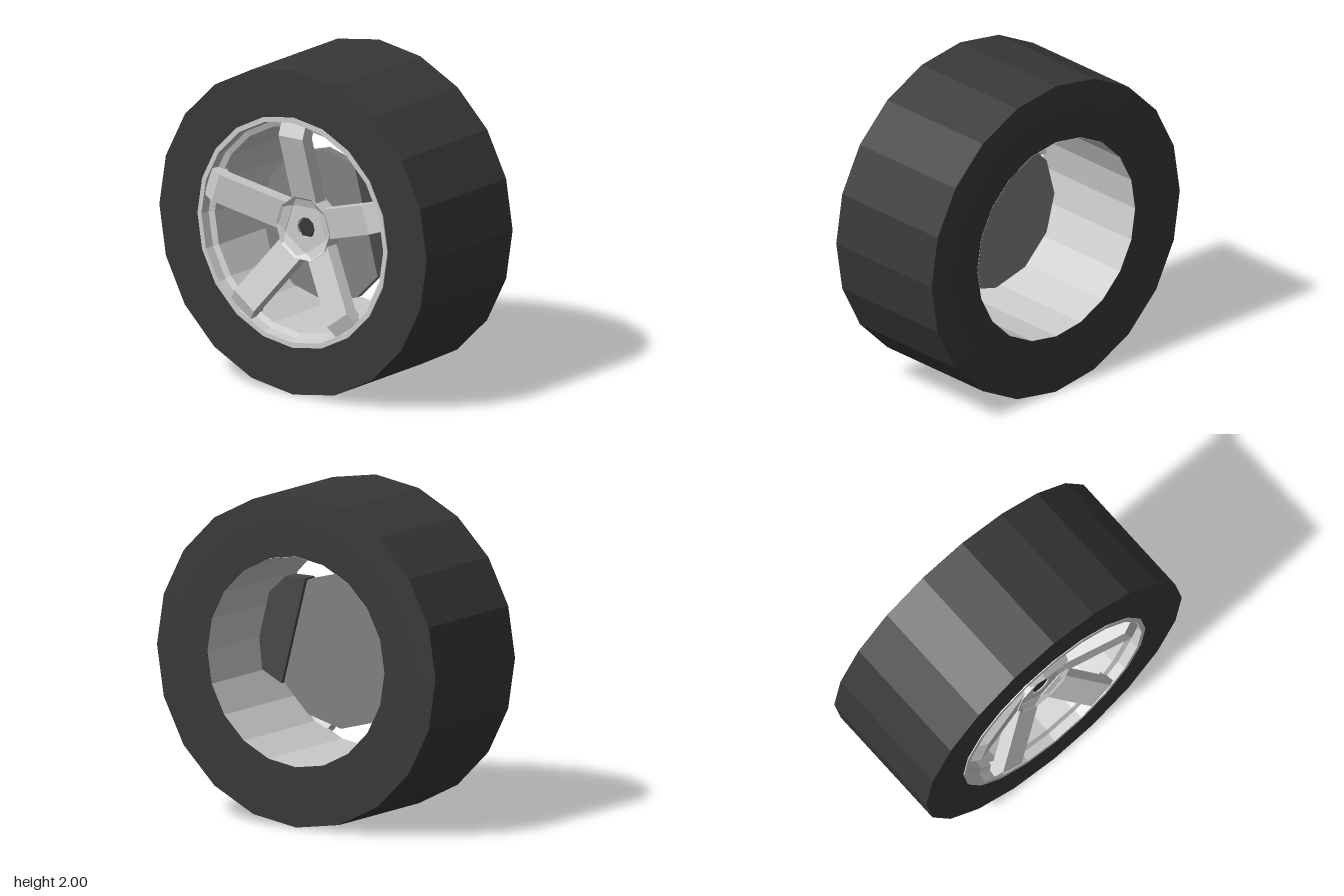
import * as THREE from 'three';

const mat = (color) => new THREE.MeshStandardMaterial({ color, flatShading: true, side: THREE.DoubleSide });

export function createModel() {
  const model = new THREE.Group();
  const wheel = new THREE.Group();
  wheel.name = 'wheel';
  wheel.position.y = 1;
  model.add(wheel);

  const rubber = mat(0x383838);
  const metal = mat(0xcccccc);
  const discGrey = mat(0x808080);
  const caliperGrey = mat(0x484848);

  const add = (name, geometry, material, parent = wheel) => {
    const mesh = new THREE.Mesh(geometry, material);
    mesh.name = name;
    parent.add(mesh);
    return mesh;
  };
  // Revolve [radius, x] points about the x axis
  const revolve = (points, sides) =>
    new THREE.LatheGeometry(points.map(([r, x]) => new THREE.Vector2(r, -x)), sides).rotateZ(Math.PI / 2);
  const extrude = (points, depth) =>
    new THREE.ExtrudeGeometry(new THREE.Shape(points.map(([x, y]) => new THREE.Vector2(x, y))), { depth, bevelEnabled: false });

  // Tyre: wide band whose inner-side wall reaches down to the barrel
  add('tyre', revolve([
    [0.637, 0.43], [0.85, 0.43], [1, 0.425], [1, -0.41], [0.7, -0.41], [0.7, 0.4], [0.637, 0.43],
  ], 20), rubber);

  // Rim: barrel with a stepped seat and a raised outer lip
  add('rim', revolve([
    [0.71, -0.39], [0.71, -0.417], [0.68, -0.417], [0.67, -0.36], [0.635, -0.345], [0.635, 0.43],
  ], 20), metal);

  // Five cranked spokes, sloping inward to the hub
  const spokes = new THREE.Group();
  spokes.name = 'spokes';
  wheel.add(spokes);
  const spokeShape = extrude([
    [-0.29, 0.13], [-0.435, 0.59], [-0.405, 0.67], [-0.31, 0.65], [-0.345, 0.585], [-0.2, 0.13],
  ], 0.18).translate(0, 0, -0.09);
  for (let i = 0; i < 5; i++) {
    add('spoke', spokeShape, metal, spokes).rotation.x = (i * Math.PI * 2) / 5;
  }

  // Hub with a dished face and a dark centre nut
  add('hub', revolve([
    [0, -0.1], [0.12, -0.1], [0.12, -0.18], [0.2, -0.2], [0.2, -0.315],
    [0.16, -0.285], [0.065, -0.285], [0.065, -0.25], [0, -0.25],
  ], 10), metal);
  add('centreNut', new THREE.CylinderGeometry(0.06, 0.06, 0.03, 6).rotateZ(Math.PI / 2).translate(-0.265, 0, 0), rubber);

  // Brake disc, sitting slightly off the axle line
  add('brakeDisc', new THREE.CylinderGeometry(0.47, 0.47, 0.05, 12).rotateZ(Math.PI / 2).translate(-0.1, -0.015, 0.02), discGrey);

  // Brake caliper over the disc's front edge
  add('brakeCaliper', extrude([
    [-0.26, 0.4], [-0.4, 0.4], [-0.52, 0.29], [-0.59, 0.01], [-0.57, -0.18], [-0.43, -0.25],
  ], 0.1).rotateY(Math.PI / 2).translate(-0.15, 0, 0), caliperGrey);

  return model;
}
